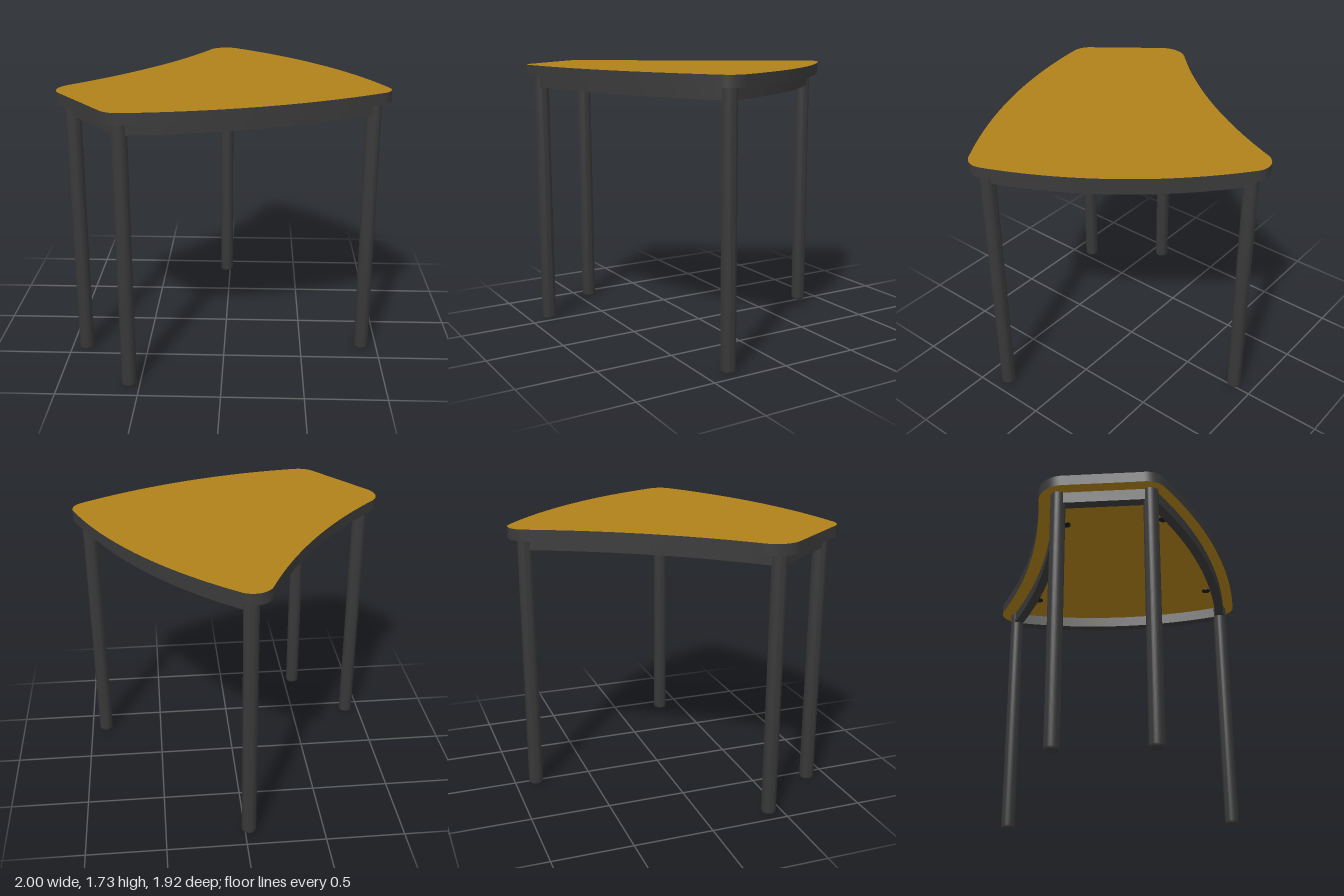
import * as THREE from 'three';
import { toCreasedNormals } from 'three/addons/utils/BufferGeometryUtils.js';

const TOP = 1.73, UNDER = 1.66, RAIL_BOTTOM = 1.585;
const LEG_R = 0.046, RAIL_W = 0.06;

// Points [x, z] on the circular arc from a through m to b
function arc(a, m, b, n) {
  const d = 2 * (a[0] * (m[1] - b[1]) + m[0] * (b[1] - a[1]) + b[0] * (a[1] - m[1]));
  if (Math.abs(d) < 1e-6) return [a, b];
  const [A, M, B] = [a, m, b].map(p => p[0] * p[0] + p[1] * p[1]);
  const cx = (A * (m[1] - b[1]) + M * (b[1] - a[1]) + B * (a[1] - m[1])) / d;
  const cz = (A * (b[0] - m[0]) + M * (a[0] - b[0]) + B * (m[0] - a[0])) / d;
  const r = Math.hypot(a[0] - cx, a[1] - cz);
  const start = Math.atan2(a[1] - cz, a[0] - cx);
  let sweep = Math.atan2(b[1] - cz, b[0] - cx) - start;
  // every arc here is shorter than a half turn
  if (sweep > Math.PI) sweep -= 2 * Math.PI;
  if (sweep < -Math.PI) sweep += 2 * Math.PI;
  return Array.from({ length: n + 1 }, (_, i) => {
    const t = start + sweep * i / n;
    return [cx + r * Math.cos(t), cz + r * Math.sin(t)];
  });
}

// Plan outline extruded from y0 up to y1
function slab(points, y0, y1) {
  const shape = new THREE.Shape(points.map(([x, z]) => new THREE.Vector2(x, -z)));
  const geo = new THREE.ExtrudeGeometry(shape, { depth: y1 - y0, bevelEnabled: false });
  geo.rotateX(-Math.PI / 2).translate(0, y0, 0);
  return toCreasedNormals(geo, 0.5);
}

// Curved bar of constant width following an arc
function railGeometry(a, m, b) {
  const path = arc(a, m, b, 32);
  const side = s => path.map((p, i) => {
    const q = path[Math.max(i - 1, 0)], r = path[Math.min(i + 1, path.length - 1)];
    const l = Math.hypot(r[0] - q[0], r[1] - q[1]);
    return [p[0] - s * (r[1] - q[1]) / l, p[1] + s * (r[0] - q[0]) / l];
  });
  return slab([...side(RAIL_W / 2), ...side(-RAIL_W / 2).reverse()], RAIL_BOTTOM, UNDER);
}

export function createModel() {
  const group = new THREE.Group();
  const wood = new THREE.MeshStandardMaterial({ color: 0xb0811a });
  const dark = new THREE.MeshStandardMaterial({ color: 0x3a3a3a });
  const black = new THREE.MeshStandardMaterial({ color: 0x1c1c1c });
  const add = (name, geo, mat) => {
    const mesh = new THREE.Mesh(geo, mat);
    mesh.name = name;
    group.add(mesh);
    return mesh;
  };

  // Tabletop: four rounded corners joined by bowed edges
  const corners = [
    [[-0.145, -0.885], [-0.05, -0.965], [0.05, -0.935]],
    [[0.99, 0.295], [0.998, 0.36], [0.94, 0.44]],
    [[-0.54, 0.957], [-0.615, 0.945], [-0.675, 0.89]],
    [[-0.96, 0.515], [-1, 0.4], [-0.945, 0.285]],
  ];
  const edgeMids = [[0.603, -0.384], [0.231, 0.788], null, [-0.487, -0.26]];
  const outline = [];
  corners.forEach((c, i) => {
    outline.push(...arc(...c, 14).slice(0, -1));
    const next = corners[(i + 1) % 4][0];
    const edge = edgeMids[i] ? arc(c[2], edgeMids[i], next, 32) : [c[2], next];
    outline.push(...edge.slice(0, -1));
  });
  add('tabletop', slab(outline, UNDER, TOP), [wood, dark]);

  // Legs with softened feet
  const legs = { back: [-0.025, -0.865], left: [0.9, 0.345], front: [-0.565, 0.865], right: [-0.905, 0.415] };
  const legProfile = [[0, 0], [0.036, 0], [0.043, 0.006], [LEG_R, 0.018], [LEG_R, UNDER], [0, UNDER]]
    .map(p => new THREE.Vector2(...p));
  const legGeo = toCreasedNormals(new THREE.LatheGeometry(legProfile, 32), 0.7);
  for (const [name, [x, z]] of Object.entries(legs)) {
    add(name + 'Leg', legGeo, dark).position.set(x, 0, z);
  }

  // Apron rails from leg to leg, echoing the edges above
  add('backLeftRail', railGeometry(legs.back, [0.5225, -0.325], legs.left), dark);
  add('frontRail', railGeometry(legs.left, [0.199, 0.695], legs.front), dark);
  add('shortRail', railGeometry(legs.front, [-0.735, 0.64], legs.right), dark);
  add('backRightRail', railGeometry(legs.right, [-0.4, -0.18], legs.back), dark);

  // Fixing discs on the underside
  const fixings = [
    [0.613, 0.431, 0.028], [-0.29, 0.747, 0.028], [-0.654, 0.245, 0.028],
    [-0.089, -0.569, 0.028], [-0.69, 0.604, 0.018],
  ];
  for (const [x, z, r] of fixings) {
    add('fixingDisc', new THREE.CylinderGeometry(r, r, 0.008, 20), black).position.set(x, UNDER - 0.002, z);
  }
  return group;
}
